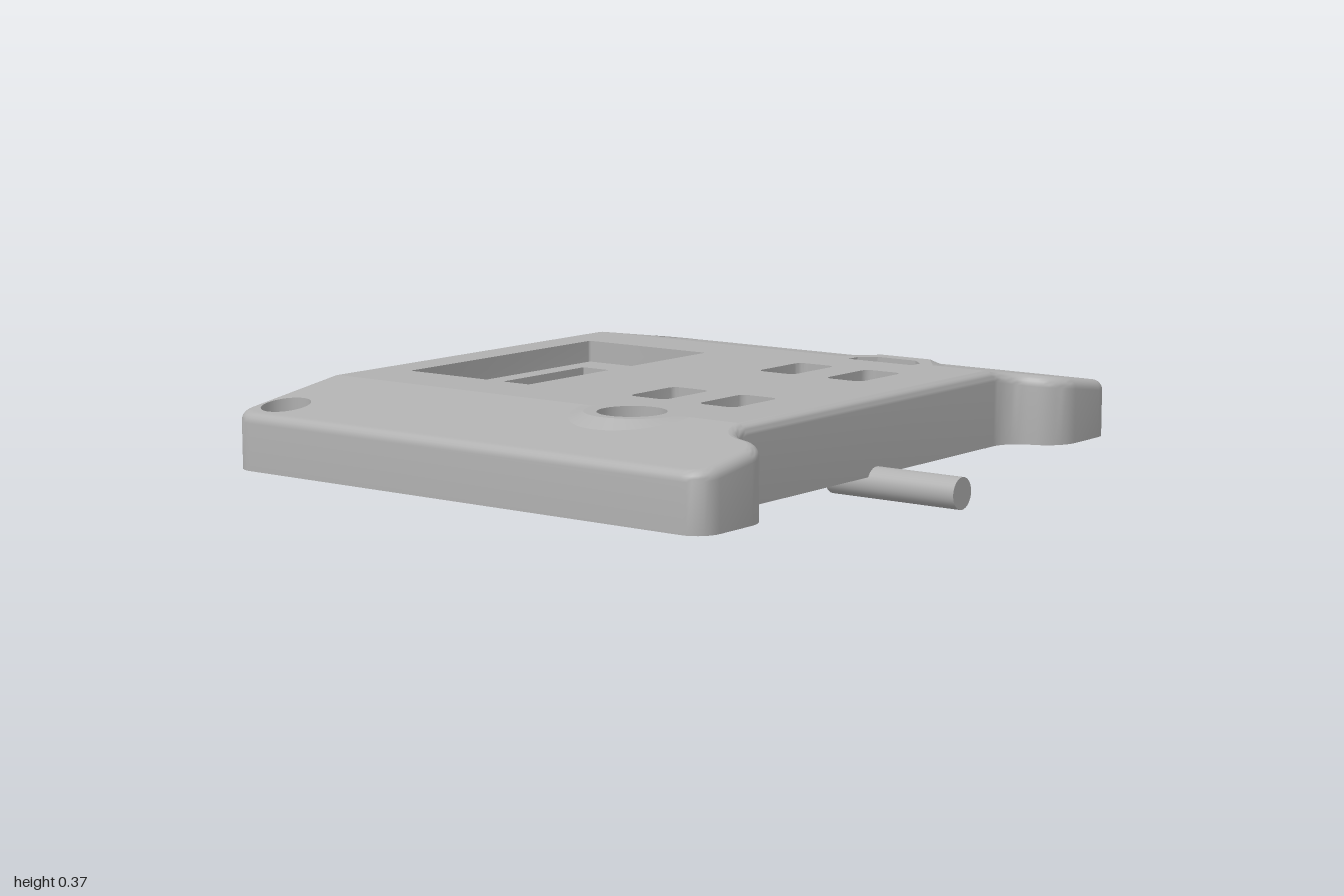
import * as THREE from 'three';
import { toCreasedNormals } from 'three/addons/utils/BufferGeometryUtils.js';

const TOP = 0.365, BASE = 0.145, FOLD = 0.6, ROUND = 0.03;

// Lid height: flat in the middle, sloping down towards both ends
const topY = (z) => TOP - 0.15 * Math.max(0, Math.abs(z) - FOLD);

// Rounded polygon in plan; corners are [x, z, fillet length]
function roundPoly(corners, steps = 7) {
  const out = [];
  corners.forEach((c, i) => {
    const [x, z, d = 0] = c;
    if (!d) { out.push([x, z]); return; }
    const p = new THREE.Vector2(x, z);
    const toward = (q) => new THREE.Vector2(q[0] - x, q[1] - z).setLength(d).add(p);
    const a = toward(corners[(i + corners.length - 1) % corners.length]);
    const b = toward(corners[(i + 1) % corners.length]);
    const curve = new THREE.CubicBezierCurve(a, a.clone().lerp(p, 0.55), b.clone().lerp(p, 0.55), b);
    curve.getPoints(steps).forEach((q) => out.push([q.x, q.y]));
  });
  return out;
}

const rect = (x0, x1, z0, z1, r = 0) => roundPoly([[x0, z0, r], [x1, z0, r], [x1, z1, r], [x0, z1, r]], 5);

function arc(cx, cz, r, n = 40, sweep = Math.PI * 2) {
  const full = sweep > 6;
  return Array.from({ length: full ? n : n + 1 }, (_, i) => {
    const t = (i / n) * sweep;
    return [cx + r * Math.cos(t), cz + r * Math.sin(t)];
  });
}

// Horizontal face with holes, its height given by a rule
function face(points, height, holes = []) {
  const v = (list) => list.map(([x, z]) => new THREE.Vector2(x, -z));
  const shape = new THREE.Shape(v(points));
  shape.holes = holes.map((h) => new THREE.Path(v(h)));
  const g = new THREE.ShapeGeometry(shape).rotateX(-Math.PI / 2);
  const p = g.attributes.position;
  for (let i = 0; i < p.count; i++) p.setY(i, typeof height === 'function' ? height(p.getZ(i)) : height);
  g.computeVertexNormals();
  return g;
}

// Surface through rows of [x, y, z] points
function skin(rows, closed = true) {
  const n = rows[0].length, index = [];
  for (let r = 0; r < rows.length - 1; r++) {
    for (let i = 0; i < (closed ? n : n - 1); i++) {
      const j = (i + 1) % n, a = r * n + i, b = r * n + j;
      index.push(a, a + n, b, b, a + n, b + n);
    }
  }
  const g = new THREE.BufferGeometry();
  g.setAttribute('position', new THREE.Float32BufferAttribute(rows.flat(2), 3));
  g.setIndex(index);
  return toCreasedNormals(g, 0.6);
}

const level = (points, h) => points.map(([x, z]) => [x, typeof h === 'function' ? h(z) : h, z]);

// Move a closed outline inward
function inset(points, d) {
  const n = points.length;
  return points.map(([x, z], i) => {
    const a = points[(i + n - 1) % n], b = points[(i + 1) % n];
    const dx = b[0] - a[0], dz = b[1] - a[1], l = Math.hypot(dx, dz);
    return [x - (dz / l) * d, z + (dx / l) * d];
  });
}

export function createModel() {
  const model = new THREE.Group();
  const gray = new THREE.MeshStandardMaterial({ color: 0xb0b0b0, side: THREE.DoubleSide });
  gray.name = 'gray plastic';
  const add = (name, geometry, x = 0, y = 0, z = 0) => {
    const m = new THREE.Mesh(geometry, gray);
    m.name = name;
    m.position.set(x, y, z);
    model.add(m);
    return m;
  };
  const cyl = (r, h, sides = 28) => new THREE.CylinderGeometry(r, r, h, sides);

  // Case outline, starting at the back end of the left-hand edge
  const outline = roundPoly([
    [-0.885, -FOLD], [-0.885, -1, 0.07], [0.765, -1, 0.07], [0.765, -0.72, 0.075], [0.605, -0.67, 0.065],
    [0.605, -FOLD], [0.605, FOLD],
    [0.605, 0.67, 0.065], [0.765, 0.72, 0.075], [0.765, 1, 0.07], [-0.885, 1, 0.07], [-0.885, FOLD],
  ]);
  const rim = inset(outline, ROUND);

  // Side walls with a rounded upper edge
  const rows = [level(outline, BASE)];
  for (let i = 0; i <= 6; i++) {
    const t = (i / 6) * Math.PI / 2;
    const ring = inset(outline, ROUND * (1 - Math.cos(t)));
    rows.push(ring.map(([x, z], k) => [x, topY(rim[k][1]) - ROUND * (1 - Math.sin(t)), z]));
  }
  add('caseWalls', skin(rows));

  // Raised surrounds for the dial and the slot: inner and outer edges
  const dialIn = arc(0.235, FOLD, 0.14, 28, Math.PI), dialOut = arc(0.235, FOLD, 0.18, 28, Math.PI);
  const slotIn = [[0.08, -FOLD], [0.15, -0.7], [0.32, -0.7], [0.395, -FOLD]];
  const slotOut = [[0.045, -FOLD], [0.13, -0.74], [0.345, -0.74], [0.43, -FOLD]];
  add('dialSurround', skin([level(dialIn, TOP), level(dialOut, topY)], false));
  add('slotSurround', skin([level(slotIn, TOP), level(slotOut, topY)], false));

  // Openings in the lid
  const screen = rect(-0.75, -0.3, -0.41, 0.41, 0.008);
  const screenInner = rect(-0.685, -0.365, -0.3, 0.3);
  const buttons = [];
  for (const [z0, z1] of [[-0.41, -0.2], [0.195, 0.4]]) {
    for (const [x0, x1] of [[0.05, 0.178], [0.288, 0.413]]) buttons.push(rect(x0, x1, z0, z1, 0.025));
  }
  const slot = [[0.12, -0.565], [0.345, -0.565], [0.345, -0.61], [0.3, -0.652], [0.165, -0.652], [0.12, -0.61]];
  const dial = arc(0.235, 0.615, 0.095);
  const cornerHoles = [-1, 1].map((s) => arc(-0.78, s * 0.89, 0.07));

  // Lid in three panels: flat centre and two sloping ends
  const mid = rim.filter((p) => Math.abs(p[1]) < FOLD + 1e-4);
  const centre = [mid[0], ...slotIn, mid[1], mid[2], ...dialIn, mid[3]];
  add('lidCentre', face(centre, TOP, [screen, slot, dial, ...buttons]));
  const back = rim.filter((p) => p[1] < -FOLD + 1e-4);
  const front = rim.filter((p) => p[1] > FOLD - 1e-4);
  add('lidBackSlope', face([...back, ...slotOut.slice().reverse()], topY, [cornerHoles[0]]));
  add('lidFrontSlope', face([...front, ...dialOut.slice().reverse()], topY, [cornerHoles[1]]));

  // Pockets below the openings
  const pocket = (name, pts, from, to, holes) => {
    add(name + 'Walls', skin([level(pts, from), level(pts, to)]));
    add(name + 'Floor', face(pts, to, holes));
  };
  pocket('screenFrame', screen, TOP, 0.3, [screenInner]);
  pocket('screen', screenInner, 0.3, 0.265);
  buttons.forEach((b) => pocket('buttonPocket', b, TOP, 0.28));
  pocket('slot', slot, TOP, 0.29);
  pocket('dialPocket', dial, TOP, 0.27);
  cornerHoles.forEach((h) => add('cornerHole', skin([level(h, topY), level(h, BASE)])));

  // Dial: collar with a gap and a centre post
  const collar = [...arc(0.235, 0.615, 0.08, 28, Math.PI * 1.85)].map(([x, z]) => [x, 0, z]);
  add('dialCollar', skin([0.27, 0.34].map((h) => collar.map(([x, , z]) => [x, h, z])), false));
  add('dialPost', cyl(0.06, 0.055), 0.235, 0.2975, 0.615);

  // Underside with a deep channel along each end
  const channels = [-1, 1].map((s) => rect(-0.65, 0.72, s < 0 ? -0.965 : 0.765, s < 0 ? -0.765 : 0.965, 0.03));
  add('underside', face(outline, BASE, [...channels, ...cornerHoles]));
  channels.forEach((c) => pocket('channel', c, BASE, 0.275));
  add('bottomPlate', new THREE.BoxGeometry(1.44, 0.008, 1.48), -0.14, BASE, 0);

  // Bottom screws: three driven in, one standing out
  for (const [x, z] of [[0.49, -0.71], [0.49, 0.71], [-0.78, 0.71]]) {
    add('screwTip', cyl(0.022, 0.035), x, 0.1325, z);
    add('screwRing', new THREE.TorusGeometry(0.04, 0.005, 6, 24).rotateX(Math.PI / 2), x, 0.141, z);
  }
  add('looseScrewShaft', cyl(0.026, 0.13), -0.78, 0.085, -0.71);
  add('looseScrewHead', cyl(0.047, 0.036), -0.78, 0.018, -0.71);

  // Cable and its fanned wires
  add('cable', cyl(0.045, 0.42, 32).rotateZ(Math.PI / 2), 0.675, 0.125, 0);
  for (let i = 0; i < 4; i++) {
    const k = i - 1.5;
    const a = new THREE.Vector3(0.47, 0.125, k * 0.018), b = new THREE.Vector3(-0.01, 0.125, k * 0.048);
    const c = new THREE.Vector3(-0.065, 0.125, k * 0.05);
    add('wire', new THREE.TubeGeometry(new THREE.LineCurve3(a, b), 1, 0.012, 12));
    add('wireTip', new THREE.TubeGeometry(new THREE.LineCurve3(b, c), 1, 0.007, 10));
  }
  return model;
}
